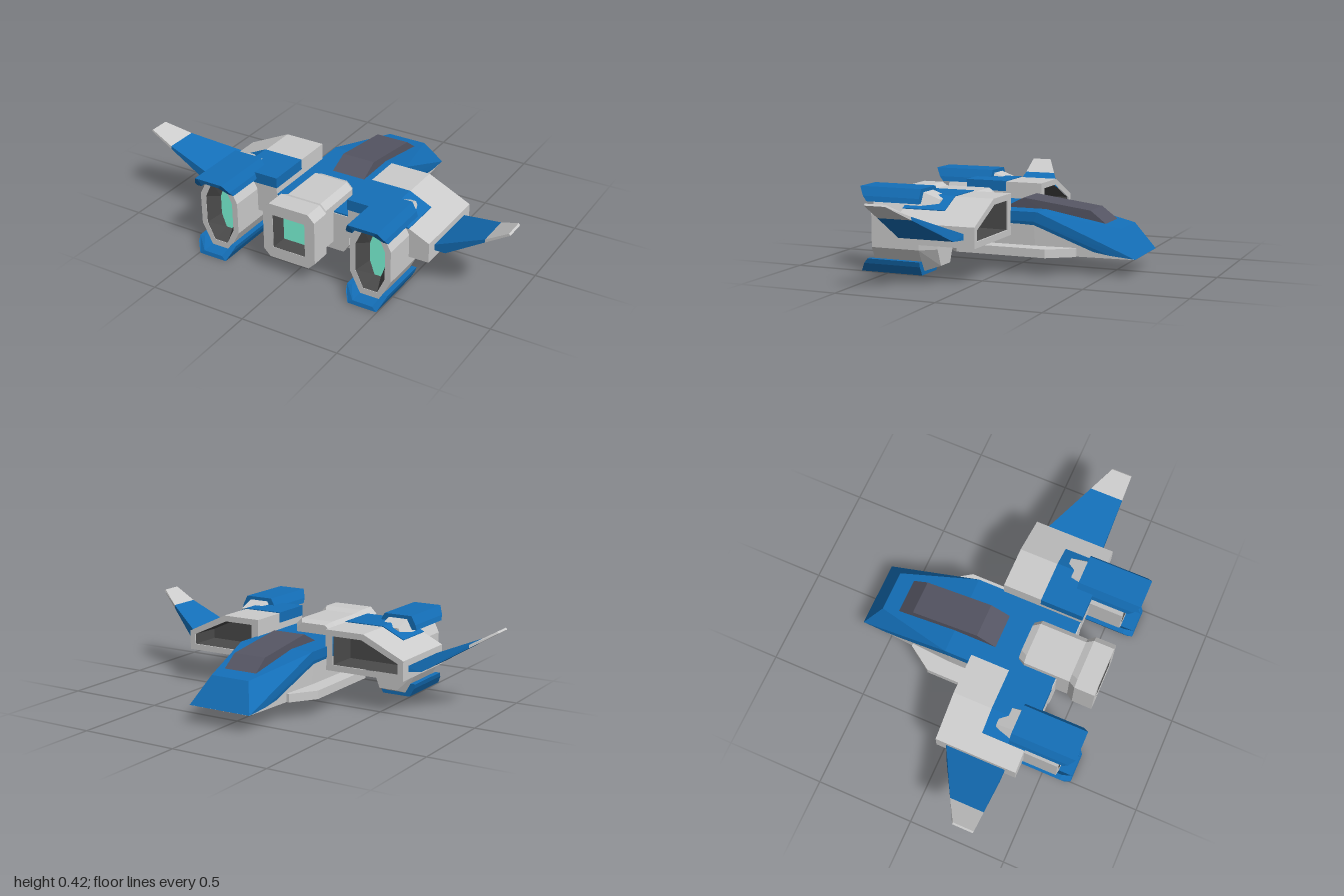
import * as THREE from 'three';
import { ConvexGeometry } from 'three/addons/geometries/ConvexGeometry.js';

const mat = (color, side = THREE.FrontSide) =>
  new THREE.MeshStandardMaterial({ color, side, flatShading: true });
const grey = mat(0xcccccc);
const blue = mat(0x146fb8);
const dark = mat(0x4a4a4a, THREE.DoubleSide);
const glass = mat(0x555563);
const glow = mat(0x7fffdf, THREE.DoubleSide);

const add = (parent, name, geometry, material) => {
  const mesh = new THREE.Mesh(geometry, material);
  mesh.name = name;
  parent.add(mesh);
  return mesh;
};

// Convex solid from corner points
const hull = (points) => new ConvexGeometry(points.map((p) => new THREE.Vector3(...p)));
// Corner points repeated on both sides of x = 0
const both = (points) => points.flatMap(([x, y, z]) => [[x, y, z], [-x, y, z]]);
const at = (outline, z) => outline.map(([x, y]) => [x, y, z]);
const toShape = (outline) => new THREE.Shape(outline.map(([x, y]) => new THREE.Vector2(x, y)));

// Prism along z, with an optional hole
function prism(outline, z0, z1, hole) {
  const shape = toShape(outline);
  if (hole) shape.holes.push(toShape(hole));
  return new THREE.ExtrudeGeometry(shape, { depth: z1 - z0, bevelEnabled: false }).translate(0, 0, z0);
}

// Open band joining two outlines of equal count
function funnel(a, za, b, zb) {
  const pos = [];
  a.forEach((p, i) => {
    const j = (i + 1) % a.length;
    const A = [...p, za], B = [...a[j], za], C = [...b[j], zb], D = [...b[i], zb];
    pos.push(...A, ...B, ...C, ...A, ...C, ...D);
  });
  const g = new THREE.BufferGeometry();
  g.setAttribute('position', new THREE.Float32BufferAttribute(pos, 3));
  g.computeVertexNormals();
  return g;
}

const panel = (outline, z) => new THREE.ShapeGeometry(toShape(outline)).translate(0, 0, z);

// Chamfered rectangle: centre, half sizes, chamfer in x and y
function octagon(cx, cy, w, h, bx, by) {
  return [[w, h - by], [w - bx, h], [bx - w, h], [-w, h - by],
    [-w, by - h], [bx - w, -h], [w - bx, -h], [w, by - h]].map(([x, y]) => [cx + x, cy + y]);
}

function addFuselage(root) {
  const g = new THREE.Group();
  g.name = 'fuselage';
  root.add(g);
  add(g, 'lowerBody', hull(both([
    [0.166, 0.088, -0.64], [0.17, 0.105, -0.5], [0.175, 0.088, 0.4], [0.2, 0.088, -0.15],
    [0.205, 0.13, 0.4], [0.205, 0.25, -0.14], [0.205, 0.288, 0.4],
  ])), grey);
  add(g, 'upperBody', hull(both([
    [0.17, 0.09, -0.645], [0.178, 0.102, -0.52], [0.105, 0.225, -0.555],
    [0.208, 0.295, -0.16], [0.208, 0.248, -0.14], [0.208, 0.295, 0.395], [0.208, 0.248, 0.395],
  ])), blue);
  add(g, 'canopy', hull(both([
    [0.09, 0.225, -0.49], [0.088, 0.3, -0.39], [0.088, 0.345, -0.04],
    [0.09, 0.29, 0.07], [0.09, 0.28, -0.16],
  ])), glass);
  // Flat keel plate with clipped corners
  const keel = [[0.2, -0.355], [0.285, -0.23], [0.285, 0.235], [0.2, 0.36]];
  add(g, 'keelPlate', hull(both(keel.flatMap(([x, z]) => [[x, 0.088, z], [x, 0.13, z]]))), grey);
}

function addCentreEngine(root) {
  const g = new THREE.Group();
  g.name = 'centreEngine';
  root.add(g);
  const cy = 0.23;
  const small = octagon(0, cy, 0.1, 0.115, 0.03, 0.03);
  const mid = octagon(0, cy, 0.12, 0.13, 0.03, 0.03);
  const big = octagon(0, cy, 0.142, 0.145, 0.035, 0.035);
  const mouth = [[0.088, cy + 0.088], [-0.088, cy + 0.088], [-0.088, cy - 0.088], [0.088, cy - 0.088]];
  const inner = mouth.map(([x, y]) => [x * 0.8, cy + (y - cy) * 0.8]);
  add(g, 'engineHousing', hull([...at(small, 0.19), ...at(mid, 0.225), ...at(mid, 0.47)]), grey);
  add(g, 'nozzleCollar', hull([...at(mid, 0.465), ...at(big, 0.5), ...at(big, 0.53)]), grey);
  add(g, 'nozzleRim', prism(big, 0.53, 0.605, mouth), grey);
  add(g, 'nozzleLining', funnel(mouth, 0.603, inner, 0.54), dark);
  add(g, 'nozzleGlow', panel(inner, 0.54), glow);
}

function addPod(root, s) {
  const g = new THREE.Group();
  g.name = s > 0 ? 'leftPod' : 'rightPod';
  g.position.set(s * 0.42, 0.21, 0);
  root.add(g);
  const body = octagon(0, 0, 0.107, 0.192, 0.055, 0.11);
  const tail = octagon(0, 0, 0.085, 0.16, 0.035, 0.085);
  const mouth = octagon(0, 0, 0.077, 0.158, 0.04, 0.085);
  const inner = octagon(0, 0, 0.042, 0.118, 0.025, 0.07);
  add(g, 'podBody', hull([...at(tail, 0.23), ...at(body, 0.32), ...at(body, 0.48)]), grey);
  add(g, 'podRim', prism(body, 0.48, 0.573, mouth), grey);
  add(g, 'podLining', funnel(mouth, 0.571, inner, 0.5), dark);
  add(g, 'podGlow', panel(inner, 0.5), glow);
  // Covers above and below, with their open end cut back at the flanks
  for (const v of [1, -1]) {
    const outline = [[-0.107, 0.14], [-0.1, 0.165], [-0.076, 0.209], [0.076, 0.209], [0.1, 0.165], [0.107, 0.14],
      [0.08, 0.14], [0.052, 0.19], [-0.052, 0.19], [-0.08, 0.14]].map(([x, y]) => [x, y * v]);
    const cover = prism(outline, 0.318, 0.648);
    const p = cover.attributes.position;
    for (let i = 0; i < p.count; i++) {
      if (p.getZ(i) > 0.5) p.setZ(i, 0.648 - Math.max(0, 0.195 - Math.abs(p.getY(i))) * 0.9);
    }
    cover.computeVertexNormals();
    add(g, v > 0 ? 'topCover' : 'bottomCover', cover, blue);
  }
}

function addIntakeAndWing(root, s) {
  const g = new THREE.Group();
  g.name = s > 0 ? 'leftSide' : 'rightSide';
  root.add(g);
  const flip = (points) => points.map(([x, ...rest]) => [s * x, ...rest]);

  // Intake block with a hollow mouth toward the nose
  const block = flip([[0.2, 0.175], [0.63, 0.175], [0.63, 0.275], [0.41, 0.38], [0.2, 0.38]]);
  const mouth = flip([[0.24, 0.205], [0.6, 0.205], [0.6, 0.258], [0.4, 0.35], [0.24, 0.35]]);
  add(g, 'intakeFrame', prism(block, -0.02, 0.15, mouth), grey);
  add(g, 'intakeBlock', prism(block, 0.15, 0.4), grey);
  add(g, 'intakeLining', funnel(mouth, -0.012, mouth.map(([x, y]) => [s * 0.41 + (x - s * 0.41) * 0.94, 0.27 + (y - 0.27) * 0.94]), 0.14), dark);
  add(g, 'intakeBack', panel(mouth, 0.139), dark);

  // Painted band across the rear of the block
  add(g, 'rearBand', prism(flip([[0.197, 0.33], [0.525, 0.325], [0.525, 0.329], [0.411, 0.384], [0.197, 0.384]]),
    0.18, 0.403), blue);

  // Upswept wing and its tip
  add(g, 'wing', hull(flip([
    [0.62, 0.213, 0.03], [0.62, 0.213, 0.343], [0.62, 0.238, 0.03], [0.62, 0.238, 0.343],
    [0.685, 0.213, 0.06], [0.685, 0.213, 0.343],
    [0.88, 0.334, 0.172], [0.88, 0.334, 0.343], [0.88, 0.35, 0.172], [0.88, 0.35, 0.343],
  ])), blue);
  add(g, 'wingTip', hull(flip([
    [0.88, 0.334, 0.172], [0.88, 0.334, 0.343], [0.88, 0.35, 0.172], [0.88, 0.35, 0.343],
    [1, 0.407, 0.238], [1, 0.407, 0.343], [0.992, 0.415, 0.238], [0.992, 0.415, 0.343],
  ])), grey);
}

export function createModel() {
  const root = new THREE.Group();
  root.name = 'spacecraft';
  addFuselage(root);
  addCentreEngine(root);
  for (const s of [1, -1]) {
    addPod(root, s);
    addIntakeAndWing(root, s);
  }
  return root;
}
